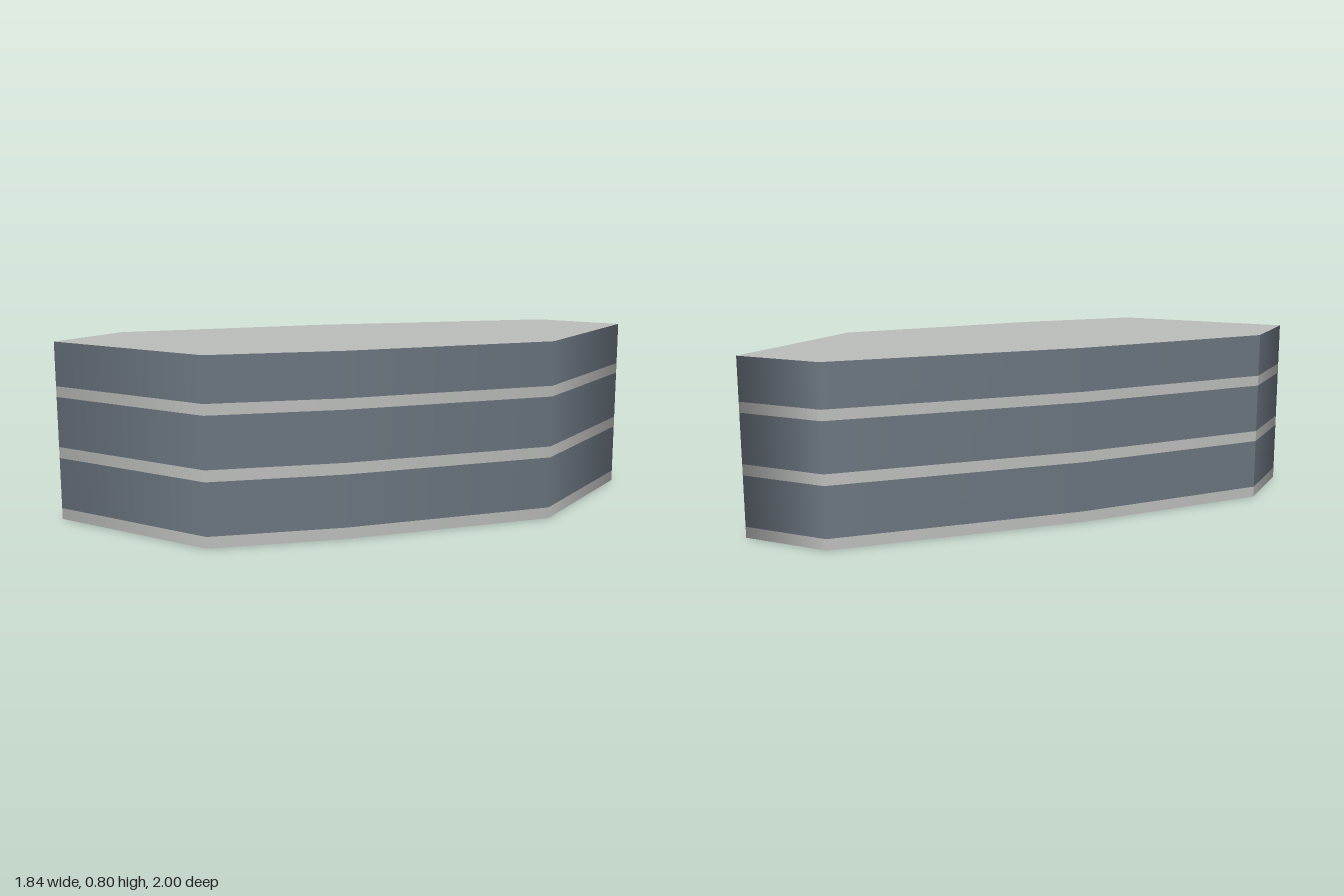
import * as THREE from 'three';

// Footprint corners as [x, z], running counter-clockwise seen from above
const footprint = [
  [-0.92, 0.58], [-0.92, 1], [-0.09, 1], [0.32, 0.585],
  [0.92, -0.17], [0.92, -1], [0.5, -1], [-0.32, -0.17],
];
const HEIGHT = 0.8;

// Open ring of wall between two heights, softly shaded round the corners except at its seam
function wallRing(y0, y1) {
  const n = footprint.length;
  const positions = [], normals = [], index = [];
  for (let i = 0; i <= n; i++) {
    const here = footprint[i % n];
    const before = i === 0 ? here : footprint[i - 1];
    const after = i === n ? here : footprint[(i + 1) % n];
    const normal = new THREE.Vector3(before[1] - after[1], 0, after[0] - before[0]).normalize();
    for (const y of [y0, y1]) {
      positions.push(here[0], y, here[1]);
      normals.push(normal.x, normal.y, normal.z);
    }
    if (i < n) {
      const a = i * 2;
      index.push(a, a + 2, a + 3, a, a + 3, a + 1);
    }
  }
  const geometry = new THREE.BufferGeometry();
  geometry.setAttribute('position', new THREE.Float32BufferAttribute(positions, 3));
  geometry.setAttribute('normal', new THREE.Float32BufferAttribute(normals, 3));
  geometry.setIndex(index);
  return geometry;
}

export function createModel() {
  const concrete = new THREE.MeshStandardMaterial({ color: 0xbcbebc, side: THREE.DoubleSide });
  concrete.name = 'pale concrete';
  const glass = new THREE.MeshStandardMaterial({ color: 0x6b757f, side: THREE.DoubleSide });
  glass.name = 'blue grey glass';

  const building = new THREE.Group();
  building.name = 'building';
  const add = (name, geometry, material) => {
    const mesh = new THREE.Mesh(geometry, material);
    mesh.name = name;
    building.add(mesh);
  };

  // Three storeys: a pale floor band with a glazed band above it
  const floors = [[0, 0.05], [0.28, 0.33], [0.555, 0.603]];
  floors.forEach(([bottom, top], i) => {
    const next = i + 1 < floors.length ? floors[i + 1][0] : HEIGHT;
    add(`floorBand${i + 1}`, wallRing(bottom, top), concrete);
    add(`windowBand${i + 1}`, wallRing(top, next), glass);
  });

  // Flat roof; the underside is left open
  const outline = new THREE.Shape(footprint.map(([x, z]) => new THREE.Vector2(x, -z)));
  const roof = new THREE.ShapeGeometry(outline);
  roof.rotateX(-Math.PI / 2);
  roof.translate(0, HEIGHT, 0);
  add('roof', roof, concrete);

  return building;
}
